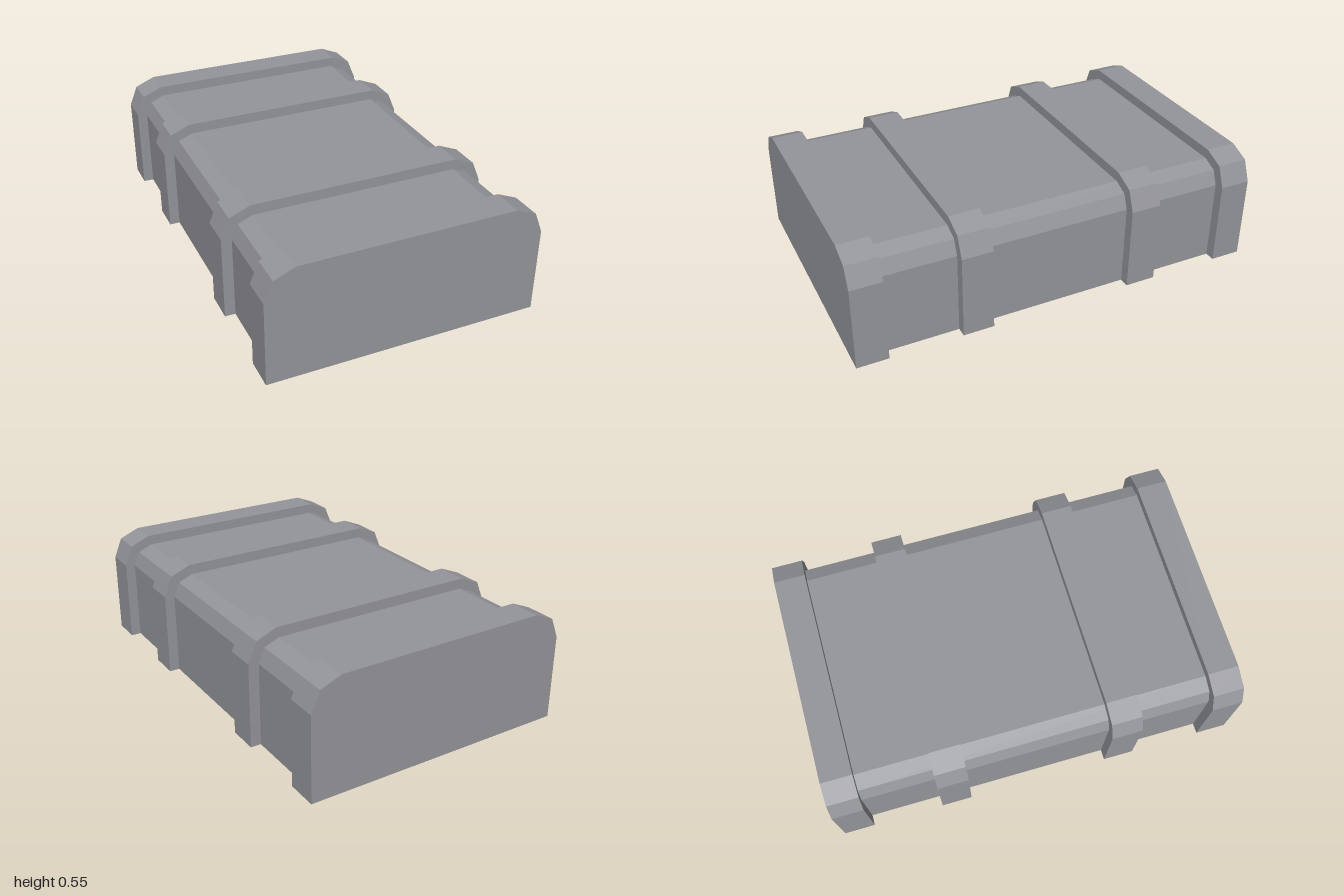
import * as THREE from 'three';

// Right half of a section: straight wall, then a two-step rounded shoulder.
function halfProfile(halfWidth, height, radius) {
  const cx = halfWidth - radius, cy = height - radius, d = radius * Math.SQRT1_2;
  return [[halfWidth, 0], [halfWidth, cy], [cx + d, cy + d], [cx, height]];
}

// Full outline from bottom right, over the top, to bottom left.
function outline(half) {
  return [...half, ...half.slice().reverse().map(([x, y]) => [-x, y])];
}

function extrude(points, z0, z1, material, name) {
  const shape = new THREE.Shape(points.map(([x, y]) => new THREE.Vector2(x, y)));
  const geometry = new THREE.ExtrudeGeometry(shape, { depth: z1 - z0, bevelEnabled: false });
  geometry.translate(0, 0, z0);
  const mesh = new THREE.Mesh(geometry, material);
  mesh.name = name;
  return mesh;
}

export function createModel() {
  const group = new THREE.Group();
  group.name = 'ribbedCase';
  const grey = new THREE.MeshStandardMaterial({ color: 0x94959a });
  grey.name = 'grey';

  const body = outline(halfProfile(0.6, 0.5, 0.1));
  const rib = outline(halfProfile(0.65, 0.55, 0.14));

  // Shell with the recess cut into its underside
  const recess = [[-0.45, 0], [-0.45, 0.25], [0.45, 0.25], [0.45, 0]];
  group.add(extrude([...body, ...recess], -0.85, 0.85, grey, 'shell'));

  // End blocks closing the recess, and hoops wrapped over the shell
  const hoop = [...rib, ...body.slice().reverse()];
  for (const [side, name] of [[1, 'front'], [-1, 'back']]) {
    const span = (a, b) => (side > 0 ? [a, b] : [-b, -a]);
    group.add(extrude(rib, ...span(0.85, 1), grey, name + 'EndBlock'));
    group.add(extrude(hoop, ...span(0.35, 0.5), grey, name + 'Hoop'));
  }
  return group;
}
